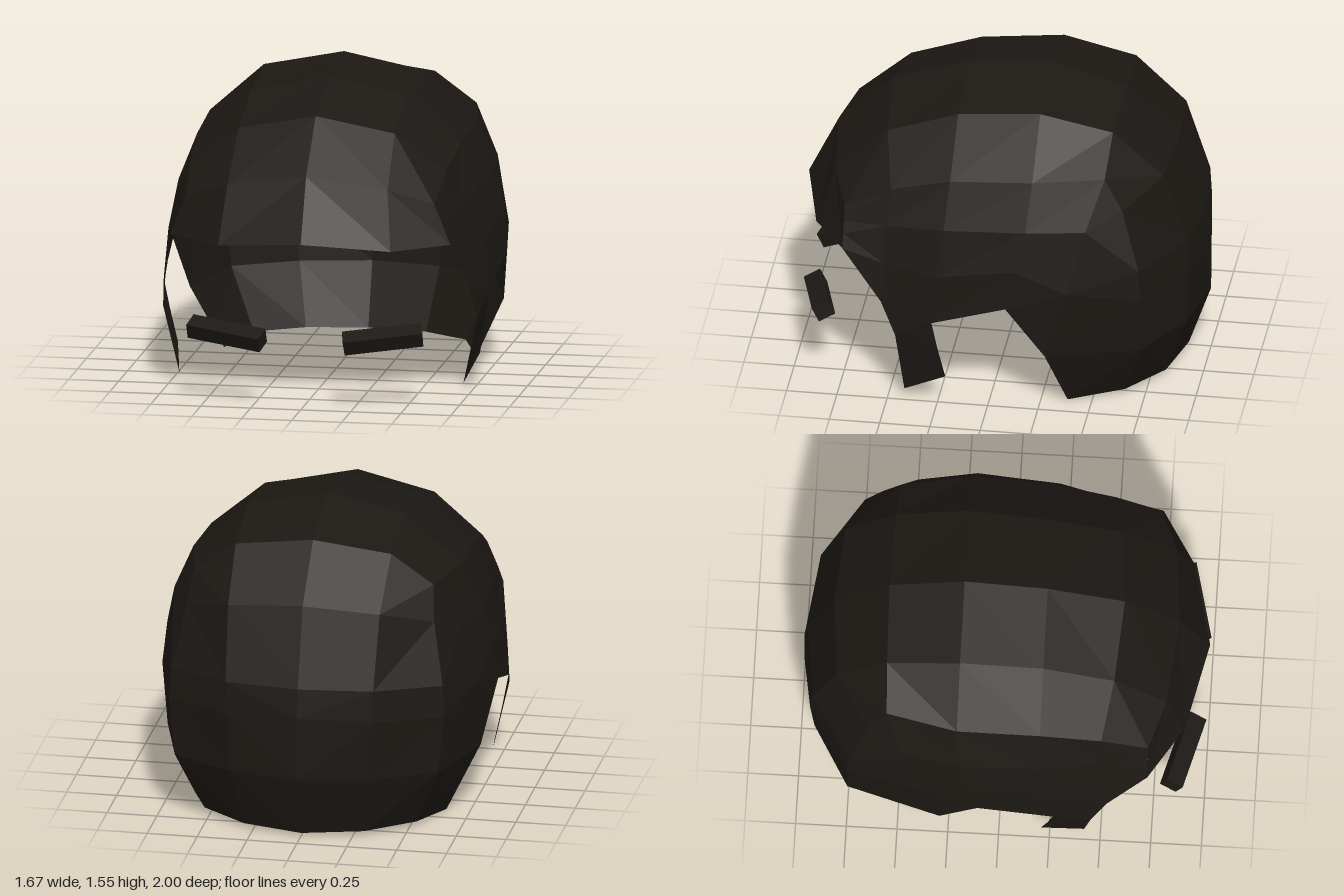
import * as THREE from 'three';

const hair = new THREE.MeshStandardMaterial({ color: 0x1c1814, flatShading: true, side: THREE.DoubleSide });

// Skin a list of cross-sections (equal point counts); mirror = -1 builds the other half.
function skin(name, rows, mirror) {
  const pos = [];
  const tri = (...pts) => {
    if (mirror < 0) pts.reverse();
    pts.forEach(([x, y, z]) => pos.push(x * mirror, y, z));
  };
  for (let i = 0; i < rows.length - 1; i++) {
    for (let j = 0; j < rows[i].length - 1; j++) {
      const a = rows[i][j], b = rows[i][j + 1], c = rows[i + 1][j], d = rows[i + 1][j + 1];
      tri(a, b, c);
      tri(b, d, c);
    }
  }
  const geo = new THREE.BufferGeometry();
  geo.setAttribute('position', new THREE.Float32BufferAttribute(pos, 3));
  geo.computeVertexNormals();
  const mesh = new THREE.Mesh(geo, hair);
  mesh.name = name;
  return mesh;
}

// Crown: fringe over the top and down to the nape (centre, middle, corner)
const crown = [
  [[0, 0.83, 1.0], [0.43, 0.79, 0.9], [0.7, 0.8, 0.73]],
  [[0, 1.14, 0.85], [0.4, 1.08, 0.81], [0.62, 1.0, 0.73]],
  [[0, 1.39, 0.58], [0.39, 1.31, 0.55], [0.64, 1.12, 0.5]],
  [[0, 1.51, 0.2], [0.39, 1.43, 0.2], [0.66, 1.2, 0.2]],
  [[0, 1.55, -0.21], [0.4, 1.47, -0.21], [0.67, 1.23, -0.21]],
  [[0, 1.44, -0.58], [0.39, 1.39, -0.57], [0.6, 1.24, -0.56]],
  [[0, 1.19, -0.85], [0.38, 1.16, -0.82], [0.62, 1.08, -0.65]],
  [[0, 0.8, -0.98], [0.37, 0.8, -0.94], [0.68, 0.78, -0.74]],
  [[0, 0.65, -1.0], [0.37, 0.64, -0.95], [0.69, 0.62, -0.75]],
  [[0, 0.33, -1.0], [0.35, 0.33, -0.93], [0.66, 0.33, -0.75]],
  [[0, 0.015, -0.89], [0.3, 0.02, -0.82], [0.53, 0.025, -0.65]],
];
const corner = (i) => crown[i][2];

// Side panel: columns from the crown's corner line down to the lower hairline
const brow = [0.76, 0.55, 0.53], ear = [0.815, 0.48, 0.27];
const behindEar = [
  corner(5), [0.72, 1.0, -0.48], [0.79, 0.68, -0.4], [0.785, 0.32, -0.29], [0.63, 0, -0.38],
];
const side = [
  [corner(1), [0.65, 0.93, 0.73], [0.675, 0.87, 0.73], corner(0)],
  [corner(2), [0.69, 0.94, 0.51], [0.73, 0.75, 0.52], brow],
  [corner(3), [0.75, 0.97, 0.22], [0.795, 0.73, 0.25], ear],
  [corner(4), [0.77, 1.0, -0.19], [0.815, 0.8, -0.14], [0.835, 0.6, -0.1]],
  behindEar.slice(0, 4),
];

// Back quarter joins the side panel to the nape
const backQuarter = [behindEar, [6, 7, 8, 9, 10].map(corner)];

// Sideburn: front edge and back edge
const sideburn = [
  [brow, [0.785, 0.38, 0.455], [0.71, 0.04, 0.42]],
  [ear, [0.79, 0.33, 0.245], [0.755, 0.15, 0.21]],
];

export function createModel() {
  const group = new THREE.Group();
  group.name = 'hairAndMoustache';
  for (const m of [1, -1]) {
    const label = m > 0 ? 'left' : 'right';
    group.add(
      skin(label + 'Crown', crown, m),
      skin(label + 'SideHair', side, m),
      skin(label + 'BackHair', backQuarter, m),
      skin(label + 'Sideburn', sideburn, m),
    );
    // Moustache half: a slim tilted bar
    const bar = new THREE.Mesh(new THREE.BoxGeometry(0.39, 0.08, 0.09), hair);
    bar.name = label + 'Moustache';
    bar.position.set(0.39 * m, 0.348, 0.89);
    bar.rotation.set(0.45, 0.25 * m, 0.1 * m, 'YZX');
    group.add(bar);
  }
  return group;
}
